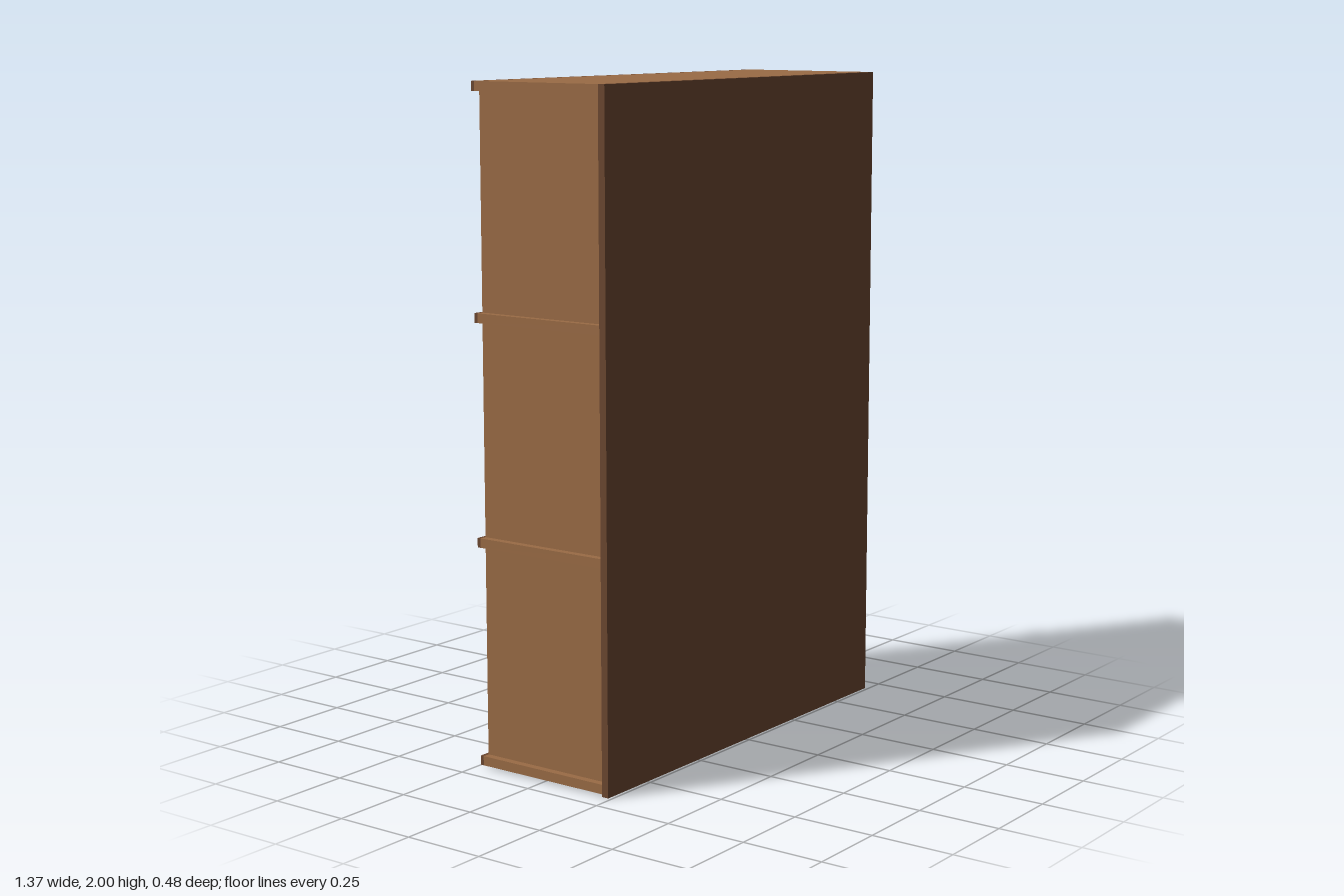
import * as THREE from 'three';

const wood = new THREE.MeshStandardMaterial({ color: 0x9a6b45 });
const darkWood = new THREE.MeshStandardMaterial({ color: 0x6b4730 });
const brass = new THREE.MeshStandardMaterial({ color: 0xb8963c });

// Box given by its min and max corners
function box(name, material, [x0, y0, z0], [x1, y1, z1]) {
  const geometry = new THREE.BoxGeometry(x1 - x0, y1 - y0, z1 - z0);
  const mesh = new THREE.Mesh(geometry, material);
  mesh.position.set((x0 + x1) / 2, (y0 + y1) / 2, (z0 + z1) / 2);
  mesh.name = name;
  return mesh;
}

export function createModel() {
  const group = new THREE.Group();
  group.name = 'bookcase';

  const halfWidth = 0.683;
  const zOpen = -0.224, zPanel = 0.217, zEnd = 0.239;
  const thickness = 0.028;
  const shelfTops = [0.036, 0.69, 1.345, 2];
  const uprightCentres = [0.669, 0.011, -0.647];

  // Panel closing the +z side
  group.add(box('backPanel', darkWood, [-halfWidth, 0, zPanel], [halfWidth, 2, zEnd]));

  shelfTops.forEach((top, i) => {
    const bottom = top - thickness;

    // Shelf board with a dark strip along its open edge
    group.add(box('shelf', wood, [-halfWidth, bottom, zOpen], [halfWidth, top, zPanel]));
    group.add(box('edgeTrim', darkWood, [-halfWidth, bottom, -0.235], [halfWidth, top, zOpen]));
    if (i === 3) return;

    // Label plates on the trim, one below each compartment
    for (const x of [-0.326, 0.326]) {
      group.add(box('labelPlate', brass,
        [x - 0.063, bottom + 0.002, -0.239], [x + 0.063, top - 0.002, -0.235]));
    }

    // Uprights standing between this shelf and the next
    for (const x of uprightCentres) {
      group.add(box('upright', wood,
        [x - thickness / 2, top, zOpen], [x + thickness / 2, shelfTops[i + 1] - thickness, zPanel]));
    }
  });

  return group;
}
